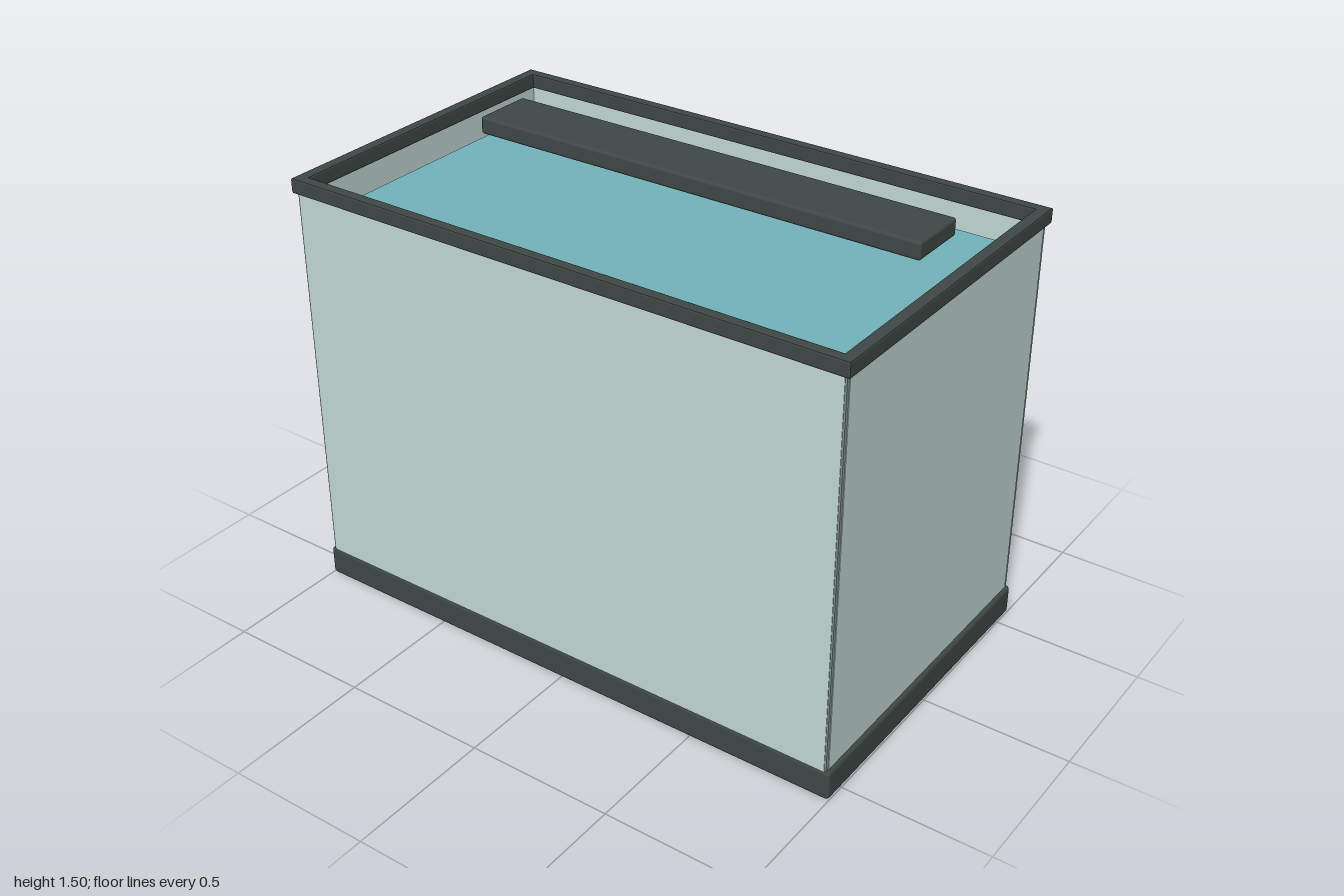
import * as THREE from 'three';
import { RoundedBoxGeometry } from 'three/addons/geometries/RoundedBoxGeometry.js';

const mat = (color) => new THREE.MeshStandardMaterial({ color });

export function createModel() {
  const group = new THREE.Group();
  const dark = mat(0x3f4846), glass = mat(0xc4dad5), seal = mat(0x84958f), water = mat(0x74b4ba);

  const add = (name, geometry, material, x, y, z) => {
    const mesh = new THREE.Mesh(geometry, material);
    mesh.name = name;
    mesh.position.set(x, y, z);
    group.add(mesh);
    return mesh;
  };
  const box = (w, h, d) => new THREE.BoxGeometry(w, h, d);
  const rounded = (w, h, d, r) => new RoundedBoxGeometry(w, h, d, 3, r);

  // Plinth under the tank
  add('base', rounded(2, 0.105, 1.156, 0.014), dark, 0, 0.0525, 0);

  // Glass walls, tucked into the base and the rim
  const bottom = 0.09, top = 1.45, h = top - bottom, mid = (top + bottom) / 2;
  for (const s of [-1, 1]) {
    add(s > 0 ? 'frontGlass' : 'backGlass', box(1.96, h, 0.018), glass, 0, mid, s * 0.565);
    add(s > 0 ? 'leftGlass' : 'rightGlass', box(0.02, h, 1.12), glass, s * 0.978, mid, 0);
    // Seals closing the vertical corners
    for (const t of [-1, 1]) {
      add('cornerSeal', box(0.018, h, 0.02), seal, s * 0.977, mid, t * 0.562);
    }
  }

  // Water body, slightly smaller than the tank interior
  const level = 1.35, floor = 0.1;
  add('water', box(1.88, level - floor, 1.068), water, 0, (level + floor) / 2, 0);

  // Open rim frame with softened edges
  const b = 0.006;
  const rect = (path, x, z) => path.moveTo(-x, -z).lineTo(x, -z).lineTo(x, z).lineTo(-x, z).closePath();
  const outline = rect(new THREE.Shape(), 1 - b, 0.583 - b);
  outline.holes.push(rect(new THREE.Path(), 0.96 + b, 0.546 + b));
  const rimGeometry = new THREE.ExtrudeGeometry(outline, {
    depth: 0.052 - 2 * b, bevelThickness: b, bevelSize: b, bevelSegments: 2,
  });
  rimGeometry.rotateX(-Math.PI / 2);
  add('rim', rimGeometry, dark, 0, 1.428 + b, 0);

  // Light bar above the water
  add('lightBar', rounded(1.64, 0.06, 0.216, 0.01), dark, 0, 1.47, -0.21);

  // Heater rod with its tip above the water
  add('heater', new THREE.CapsuleGeometry(0.01, 0.5, 4, 12), dark, 0.717, 1.17, -0.393);

  return group;
}
